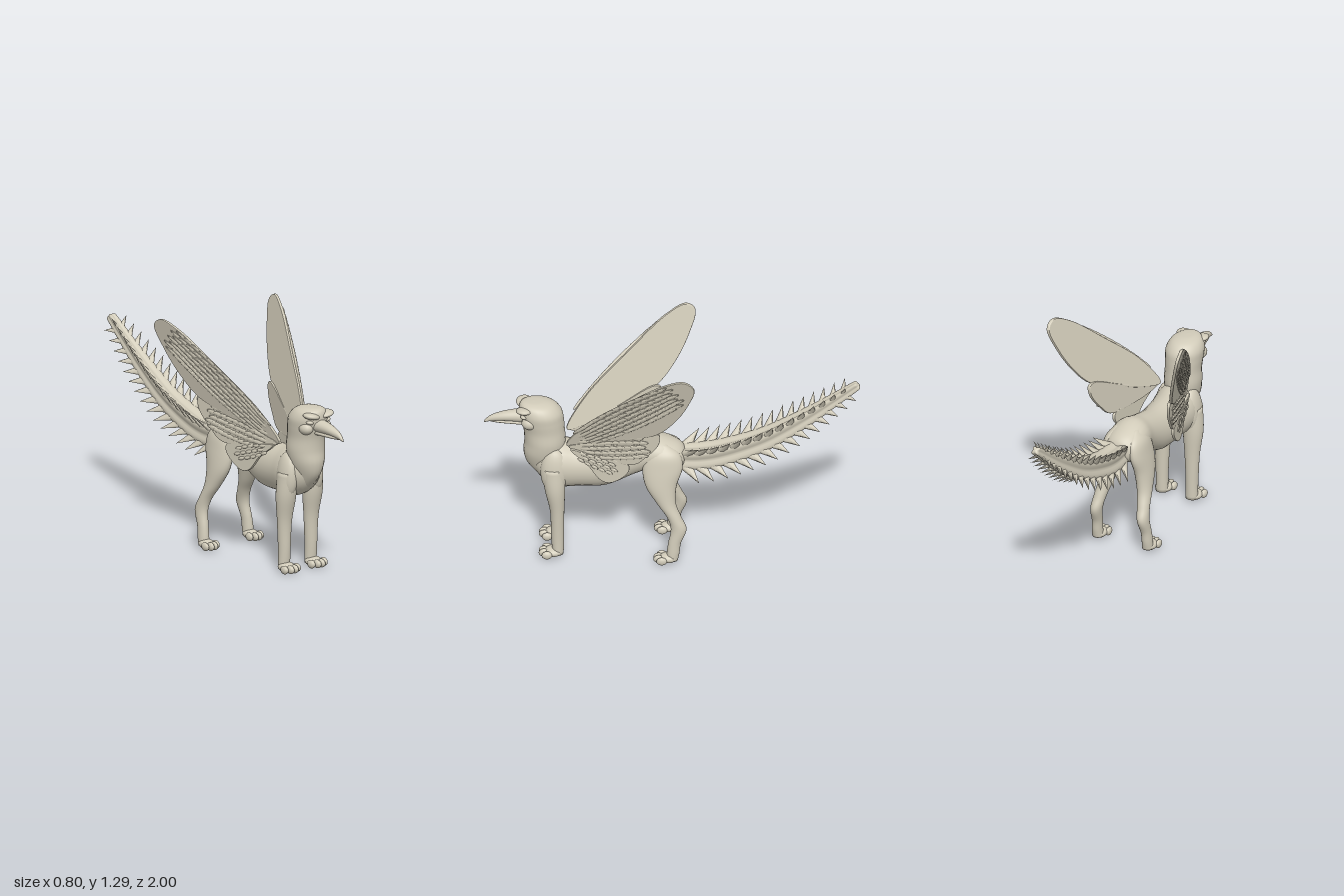
import * as THREE from 'three';
import { mergeGeometries } from 'three/addons/utils/BufferGeometryUtils.js';

const V = (x, y, z) => new THREE.Vector3(x, y, z);

// Smooth closed skin through elliptical rings; each ring is { c, a, b } = centre and two radii.
// frame(t, tangent) returns the two ring axes, with u x v pointing along the travel.
function loft(rings, frame, steps = 6, segs = 24, ripple = () => 1) {
  const centre = new THREE.CatmullRomCurve3(rings.map(r => r.c), false, 'catmullrom');
  const radius = new THREE.CatmullRomCurve3(rings.map(r => V(r.a, r.b, 0)), false, 'catmullrom');
  const n = (rings.length - 1) * steps, pos = [], idx = [];
  for (let i = 0; i <= n; i++) {
    const t = i / n, c = centre.getPoint(t), r = radius.getPoint(t);
    const [u, v] = frame(centre.getTangent(t));
    for (let j = 0; j < segs; j++) {
      const th = j / segs * Math.PI * 2, k = ripple(th);
      const p = c.clone().addScaledVector(u, Math.cos(th) * r.x * k).addScaledVector(v, Math.sin(th) * r.y * k);
      pos.push(p.x, p.y, p.z);
      if (i < n) {
        const a = i * segs + j, b = i * segs + (j + 1) % segs;
        idx.push(a, b, a + segs, b, b + segs, a + segs);
      }
    }
  }
  // End caps
  const base = pos.length / 3;
  for (const p of [centre.getPoint(0), centre.getPoint(1)]) pos.push(p.x, p.y, p.z);
  for (let j = 0; j < segs; j++) {
    const k = (j + 1) % segs;
    idx.push(base, k, j, base + 1, n * segs + j, n * segs + k);
  }
  const g = new THREE.BufferGeometry();
  g.setAttribute('position', new THREE.Float32BufferAttribute(pos, 3));
  g.setIndex(idx);
  g.computeVertexNormals();
  return g;
}

// Rows: [z, y, rx, ry], increasing z
const loftZ = rows => loft(rows.map(([z, y, a, b]) => ({ c: V(0, y, z), a, b })), () => [V(1, 0, 0), V(0, 1, 0)]);
// Rows: [y, x, z, rx, rz], increasing y
const loftY = rows => loft(rows.map(([y, x, z, rx, rz]) => ({ c: V(x, y, z), a: rz, b: rx })), () => [V(0, 0, 1), V(1, 0, 0)]);

function ellipsoid(x, y, z, rx, ry, rz, tilt = 0) {
  return new THREE.SphereGeometry(1, 18, 12).scale(rx, ry, rz).rotateZ(tilt).translate(x, y, z);
}

// Mirror across x and restore the corner order
function mirrored(geo) {
  const g = geo.index ? geo.clone() : geo.clone().setIndex([...Array(geo.attributes.position.count).keys()]);
  g.scale(-1, 1, 1);
  const ix = g.index.array;
  for (let i = 0; i < ix.length; i += 3) [ix[i + 1], ix[i + 2]] = [ix[i + 2], ix[i + 1]];
  return g;
}

// Wing outline is [z, y]; plane = [a, b, c] gives x = a + b*y + c*z
function wing({ outline, plane: [a, b, c], root, tip, width, rows, cols }) {
  const place = g => {
    const p = g.attributes.position;
    for (let i = 0; i < p.count; i++) {
      const z = -p.getX(i), y = p.getY(i);
      p.setXYZ(i, a + b * y + c * z + p.getZ(i), y, z);
    }
    g.computeVertexNormals();
    return g;
  };
  const pts = outline.map(([z, y]) => V(-z, y, 0));
  const curve = new THREE.CatmullRomCurve3(pts, true, 'centripetal');
  const shape = new THREE.Shape(curve.getPoints(70).slice(0, -1).map(p => new THREE.Vector2(p.x, p.y)));
  const blade = place(new THREE.ExtrudeGeometry(shape, {
    depth: 0.01, bevelEnabled: true, bevelSize: 0.004, bevelOffset: -0.004, bevelThickness: 0.004, bevelSegments: 2,
  }));
  // Overlapping raised feathers on the outer face
  const r = new THREE.Vector2(-root[0], root[1]), axis = new THREE.Vector2(-tip[0], tip[1]).sub(r);
  const len = axis.length(), angle = axis.angle(), feathers = [];
  for (let i = 0; i < cols; i++) for (let j = 0; j < rows; j++) {
    const t = 0.16 + 0.7 * (i + (j % 2) * 0.5) / cols, s = (j / (rows - 1)) * 2 - 1;
    const w = width * Math.sqrt(Math.sin(Math.PI * Math.min(0.95, t * 0.9 + 0.02)));
    const g = new THREE.SphereGeometry(1, 8, 6).scale(len * 0.075, width / rows * 0.95, 0.006);
    g.rotateY(-0.06).rotateZ(angle + s * 0.12 * (1 - t));
    g.translate(r.x + axis.x * t - axis.y / len * s * w, r.y + axis.y * t + axis.x / len * s * w, 0.0145);
    feathers.push(g);
  }
  return [blade, place(mergeGeometries(feathers))];
}

export function createModel() {
  const model = new THREE.Group();
  model.name = 'wingedBeast';
  const stone = new THREE.MeshStandardMaterial({ color: 0xd1cbb9 });
  stone.name = 'warm stone';
  const add = (name, geo) => {
    const m = new THREE.Mesh(geo, stone);
    m.name = name;
    model.add(m);
  };
  const pair = (name, geo) => {
    add(name + 'Left', geo);
    add(name + 'Right', mirrored(geo));
  };

  // Trunk, neck and head
  add('body', loftZ([
    [-0.075, 0.585, 0.01, 0.01], [-0.055, 0.585, 0.07, 0.06], [0, 0.59, 0.105, 0.09], [0.1, 0.612, 0.105, 0.097],
    [0.2, 0.58, 0.09, 0.105], [0.35, 0.53, 0.1, 0.125], [0.5, 0.53, 0.112, 0.13], [0.6, 0.54, 0.122, 0.14],
    [0.68, 0.55, 0.1, 0.11], [0.73, 0.56, 0.05, 0.06], [0.745, 0.56, 0.005, 0.005],
  ]));
  add('neckAndHead', loftY([
    [0.44, 0, 0.65, 0.01, 0.01], [0.47, 0, 0.655, 0.045, 0.055], [0.54, 0, 0.67, 0.068, 0.1], [0.61, 0, 0.68, 0.09, 0.11],
    [0.68, 0, 0.675, 0.1, 0.11], [0.75, 0, 0.68, 0.096, 0.11], [0.81, 0, 0.69, 0.1, 0.115],
    [0.86, 0, 0.7, 0.1, 0.115], [0.9, 0, 0.715, 0.08, 0.095], [0.918, 0, 0.73, 0.045, 0.06], [0.922, 0, 0.735, 0.005, 0.005],
  ]));
  pair('brow', ellipsoid(0.048, 0.885, 0.785, 0.046, 0.018, 0.045, 0.2));
  pair('cheek', ellipsoid(0.06, 0.815, 0.755, 0.036, 0.035, 0.045));
  pair('eye', ellipsoid(0.056, 0.852, 0.785, 0.022, 0.012, 0.02, 0.15));
  add('upperBeak', loftZ([
    [0.77, 0.828, 0.045, 0.04], [0.83, 0.828, 0.037, 0.034], [0.9, 0.823, 0.028, 0.026],
    [0.96, 0.81, 0.015, 0.018], [0.99, 0.794, 0.007, 0.009], [1, 0.786, 0.002, 0.003],
  ]));
  add('lowerBeak', loftZ([
    [0.77, 0.792, 0.034, 0.018], [0.84, 0.792, 0.026, 0.014], [0.92, 0.791, 0.014, 0.009], [0.965, 0.79, 0.003, 0.003],
  ]));

  // Legs
  pair('shoulder', ellipsoid(0.085, 0.53, 0.625, 0.047, 0.13, 0.075, 0.08));
  pair('frontLeg', loftY([
    [0.015, 0.09, 0.605, 0.034, 0.03], [0.12, 0.09, 0.608, 0.034, 0.034], [0.28, 0.09, 0.61, 0.042, 0.038],
    [0.42, 0.09, 0.622, 0.055, 0.055], [0.55, 0.088, 0.63, 0.045, 0.06],
  ]));
  pair('hindLeg', loftY([
    [0.015, 0.15, -0.002, 0.03, 0.03], [0.06, 0.15, -0.007, 0.029, 0.034], [0.12, 0.147, -0.015, 0.028, 0.034],
    [0.2, 0.14, -0.036, 0.031, 0.042], [0.27, 0.13, -0.012, 0.034, 0.038], [0.35, 0.115, 0.03, 0.04, 0.051],
    [0.45, 0.1, 0.058, 0.046, 0.083], [0.55, 0.085, 0.05, 0.045, 0.106], [0.63, 0.07, 0.045, 0.04, 0.085], [0.68, 0.055, 0.05, 0.01, 0.02],
  ]));
  for (const [name, x, z, spread] of [['front', 0.091, 0.635, 0.058], ['hind', 0.15, 0.025, 0.05]]) {
    const toes = [ellipsoid(x, 0.026, z - 0.005, spread * 0.8, 0.026, 0.05)];
    for (let i = 0; i < 4; i++) {
      const k = (i - 1.5) / 1.5;
      toes.push(ellipsoid(x + k * spread * 0.72, 0.023, z + 0.047 - 0.018 * k * k, spread * 0.28, 0.023, 0.028));
    }
    pair(name + 'Paw', mergeGeometries(toes));
  }

  // Three wings each side: main blade, covert, lower covert
  const wings = [
    { name: 'mainWing', plane: [0.053, 0.24, -0.26], root: [0.55, 0.7], tip: [-0.1, 1.26], width: 0.08, rows: 7, cols: 12,
      outline: [[0.56, 0.69], [0.46, 0.86], [0.25, 1.06], [0.035, 1.245], [-0.07, 1.29], [-0.12, 1.25],
        [-0.09, 1.13], [-0.02, 0.99], [0.08, 0.87], [0.25, 0.79], [0.41, 0.72]] },
    { name: 'middleWing', plane: [0.219, 0.04, -0.3], root: [0.53, 0.68], tip: [0.07, 0.79], width: 0.065, rows: 5, cols: 9,
      outline: [[0.55, 0.69], [0.3, 0.78], [0.1, 0.87], [0.065, 0.86], [0.07, 0.8], [0.14, 0.7], [0.2, 0.645], [0.36, 0.64], [0.52, 0.67]] },
    { name: 'lowerWing', plane: [0.225, 0, -0.23], root: [0.52, 0.66], tip: [0.25, 0.575], width: 0.03, rows: 3, cols: 5,
      outline: [[0.54, 0.68], [0.4, 0.66], [0.24, 0.64], [0.225, 0.61], [0.25, 0.56], [0.33, 0.505], [0.38, 0.515], [0.45, 0.6]] },
  ];
  for (const w of wings) {
    const [blade, feathers] = wing(w);
    pair(w.name, blade);
    pair(w.name + 'Feathers', feathers);
  }

  // Tail with four ridges
  const rings = [[0.02, 0.575, 0.06], [-0.15, 0.577, 0.068], [-0.3, 0.61, 0.066], [-0.5, 0.69, 0.058],
    [-0.7, 0.815, 0.046], [-0.85, 0.925, 0.034], [-0.96, 1.01, 0.026], [-0.985, 1.028, 0.022], [-0.992, 1.034, 0.004]]
    .map(([z, y, r]) => ({ c: V(0, y, z), a: r, b: r }));
  const X = V(1, 0, 0);
  add('tail', loft(rings, t => [X, t.clone().cross(X)], 6, 32, th => 0.92 - 0.2 * Math.cos(4 * th)));

  // Backswept spikes along each ridge
  const path = new THREE.CatmullRomCurve3(rings.map(r => r.c)), spikes = [];
  for (let i = 0; i < 15; i++) {
    const s = 0.1 + 0.83 * i / 14, p = path.getPointAt(s), t = path.getTangentAt(s), up = t.clone().cross(X);
    const size = 1 - 0.62 * Math.pow(s, 2.2);
    for (let q = 0; q < 4; q++) {
      const th = Math.PI / 4 + q * Math.PI / 2;
      const out = X.clone().multiplyScalar(Math.cos(th)).addScaledVector(up, Math.sin(th));
      const from = p.clone().addScaledVector(out, 0.045 * size).addScaledVector(t, -0.025 * size);
      const to = p.clone().addScaledVector(out, 0.152 * size).addScaledVector(t, 0.05 * size);
      const dir = to.clone().sub(from), len = dir.length();
      dir.normalize();
      const side = t.clone().cross(out).normalize(), along = dir.clone().cross(side);
      const g = new THREE.ConeGeometry(1, 1, 8, 1).translate(0, 0.5, 0).scale(0.036 * size, len, 0.02 * size);
      g.applyMatrix4(new THREE.Matrix4().makeBasis(along, dir, side).setPosition(from));
      spikes.push(g);
    }
  }
  add('tailSpikes', mergeGeometries(spikes));
  return model;
}
